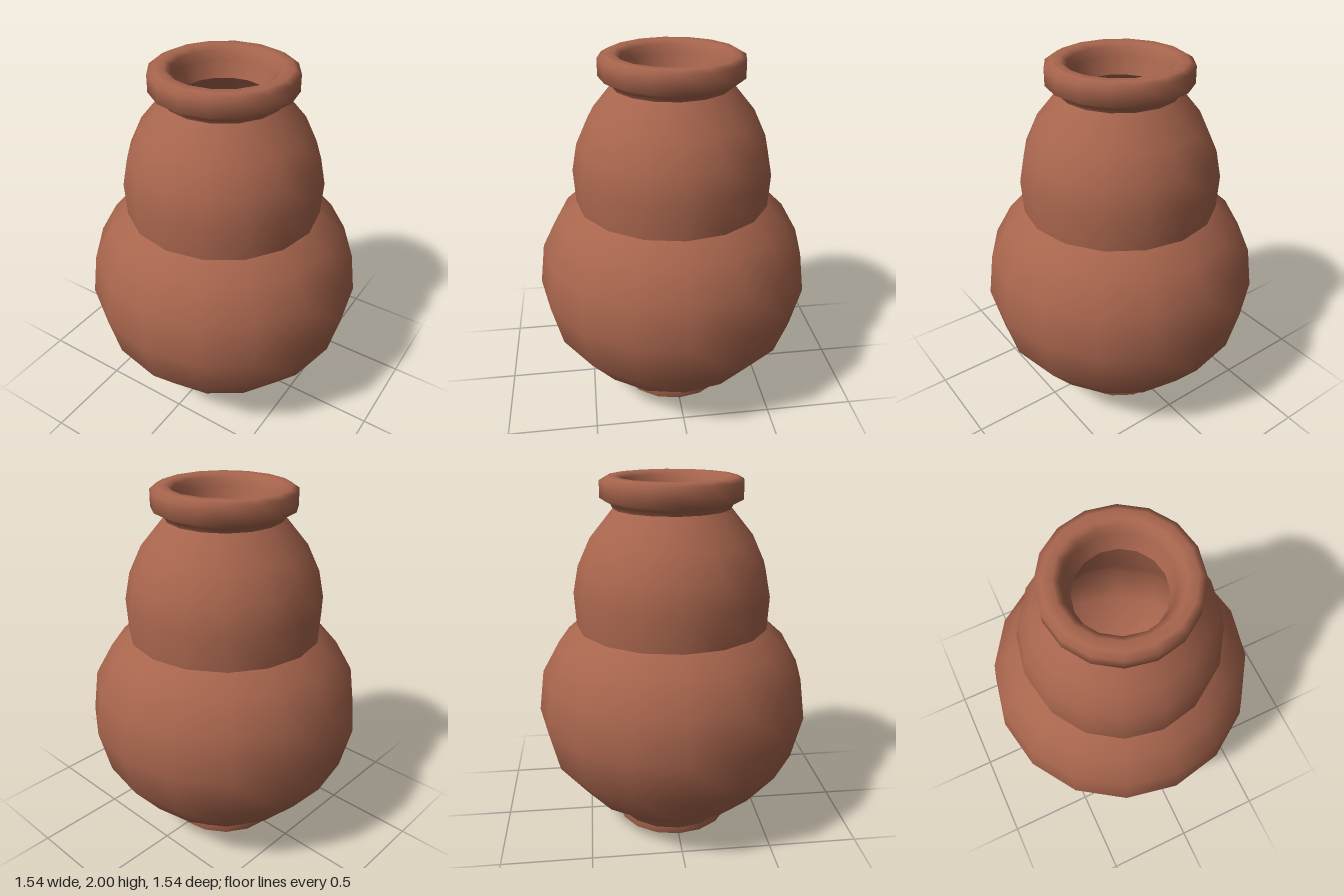
import * as THREE from 'three';

const SIDES = 16;

export function createModel() {
  const group = new THREE.Group();
  const terracotta = new THREE.MeshStandardMaterial({ color: 0xa8654d, side: THREE.DoubleSide });
  terracotta.name = 'terracotta';

  // Turns a profile of [radius, height] pairs around the y axis
  const turn = (name, profile) => {
    const points = profile.map(([r, y]) => new THREE.Vector2(r, y));
    const mesh = new THREE.Mesh(new THREE.LatheGeometry(points, SIDES), terracotta);
    mesh.name = name;
    group.add(mesh);
  };

  // Underside, slightly recessed inside the foot
  turn('underside', [[0, 0.03], [0.29, 0.03], [0.32, 0]]);

  // Foot ring and the flare above it
  turn('foot', [[0.32, 0], [0.33, 0], [0.33, 0.04]]);
  turn('footFlare', [[0.33, 0.04], [0.39, 0.12]]);

  // Wide lower belly and its shoulder
  turn('lowerBelly', [
    [0.39, 0.12], [0.545, 0.23], [0.71, 0.44], [0.77, 0.69],
    [0.738, 0.925], [0.64, 1.1], [0.535, 1.195],
  ]);

  // Narrower upper belly up to the neck
  turn('upperBelly', [
    [0.535, 1.19], [0.545, 1.38], [0.515, 1.53], [0.445, 1.68], [0.318, 1.835],
  ]);

  // Rolled lip, from the neck over the rim to the throat
  turn('lip', [
    [0.318, 1.835], [0.33, 1.86], [0.385, 1.89], [0.385, 1.98], [0.35, 2],
    [0.3, 2], [0.27, 1.98], [0.262, 1.93], [0.23, 1.84],
  ]);

  // Hollow interior, from the throat down to the floor
  turn('interior', [
    [0.23, 1.84], [0.38, 1.68], [0.46, 1.5], [0.475, 1.2], [0.58, 1.08],
    [0.69, 0.7], [0.63, 0.46], [0.46, 0.27], [0.25, 0.14], [0.08, 0.18], [0, 0.19],
  ]);

  // Small round boss on the inner floor
  const boss = new THREE.Mesh(new THREE.SphereGeometry(0.08, 24, 12), terracotta);
  boss.name = 'floorBoss';
  boss.position.y = 0.2;
  group.add(boss);

  return group;
}
